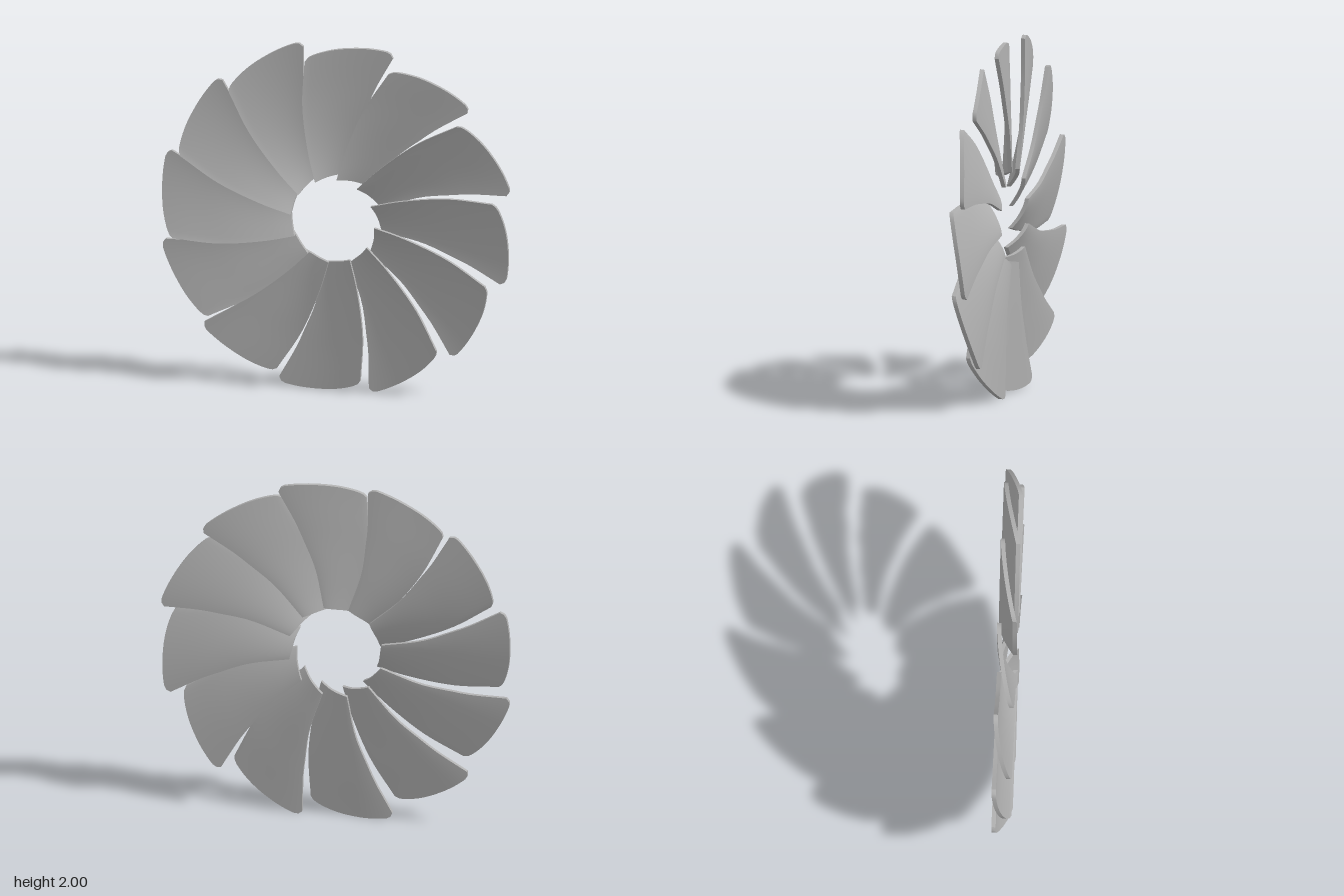
import * as THREE from 'three';
import { mergeGeometries } from 'three/addons/utils/BufferGeometryUtils.js';

const BLADES = 12;
const THICKNESS = 0.024;
const SWEEP = 0.043; // half depth of the curved sheet

const curve = (pts) => new THREE.CatmullRomCurve3(pts.map(([x, y]) => new THREE.Vector3(x, y, 0)));

// Outline of one blade, measured from the hub centre
const lead = curve([[-0.1, 0.22], [-0.14, 0.39], [-0.173, 0.66], [-0.16, 0.92]]);
const trail = curve([[0.066, 0.264], [0.115, 0.5], [0.183, 0.668], [0.226, 0.765], [0.327, 0.946]]);
const root = curve([[-0.1, 0.22], [-0.04, 0.243], [0.027, 0.257], [0.066, 0.264]]);
const tip = curve([[-0.16, 0.92], [-0.14, 0.943], [-0.016, 0.984], [0.155, 0.997], [0.28, 0.985], [0.312, 0.975], [0.327, 0.946]]);

// Point on the blade: u runs across, v from root to tip, s from back to front face
function bladePoint(u, v, s) {
  const p = new THREE.Vector3()
    .addScaledVector(lead.getPointAt(v), 1 - u)
    .addScaledVector(trail.getPointAt(v), u)
    .addScaledVector(root.getPointAt(u), 1 - v)
    .addScaledVector(tip.getPointAt(u), v)
    .addScaledVector(lead.getPointAt(0), -(1 - u) * (1 - v))
    .addScaledVector(trail.getPointAt(0), -u * (1 - v))
    .addScaledVector(lead.getPointAt(1), -(1 - u) * v)
    .addScaledVector(trail.getPointAt(1), -u * v);
  p.z = SWEEP * (2 * Math.pow(1 - u, 1.6) - 1) + (s - 0.5) * THICKNESS;
  return p;
}

// Grid surface facing the side where a x b points
function surface(fn, na, nb) {
  const pos = [], index = [];
  for (let j = 0; j <= nb; j++) {
    for (let i = 0; i <= na; i++) {
      pos.push(...fn(i / na, j / nb).toArray());
      if (i < na && j < nb) {
        const k = j * (na + 1) + i, m = k + na + 1;
        index.push(k, k + 1, m + 1, k, m + 1, m);
      }
    }
  }
  const g = new THREE.BufferGeometry();
  g.setAttribute('position', new THREE.Float32BufferAttribute(pos, 3));
  g.setIndex(index);
  g.computeVertexNormals();
  return g;
}

function bladeGeometry() {
  const NU = 20, NV = 14;
  return mergeGeometries([
    surface((a, b) => bladePoint(a, b, 1), NU, NV), // front face
    surface((a, b) => bladePoint(1 - a, b, 0), NU, NV), // back face
    surface((a, b) => bladePoint(0, b, a), 1, NV), // leading edge
    surface((a, b) => bladePoint(1, b, 1 - a), 1, NV), // trailing edge
    surface((a, b) => bladePoint(a, 1, 1 - b), NU, 1), // tip
    surface((a, b) => bladePoint(a, 0, b), NU, 1), // root
  ]);
}

export function createModel() {
  const grey = new THREE.MeshStandardMaterial({ color: 0xb0b0b0 });
  grey.name = 'bladeGrey';

  const model = new THREE.Group();
  model.name = 'fanBladeRing';
  const ring = new THREE.Group();
  ring.name = 'blades';
  ring.position.y = 1;
  model.add(ring);

  // Overlapping blades repeated around the hub opening
  const geometry = bladeGeometry();
  for (let i = 0; i < BLADES; i++) {
    const blade = new THREE.Mesh(geometry, grey);
    blade.name = `blade${i + 1}`;
    blade.rotation.z = (-i / BLADES) * Math.PI * 2;
    ring.add(blade);
  }
  return model;
}
